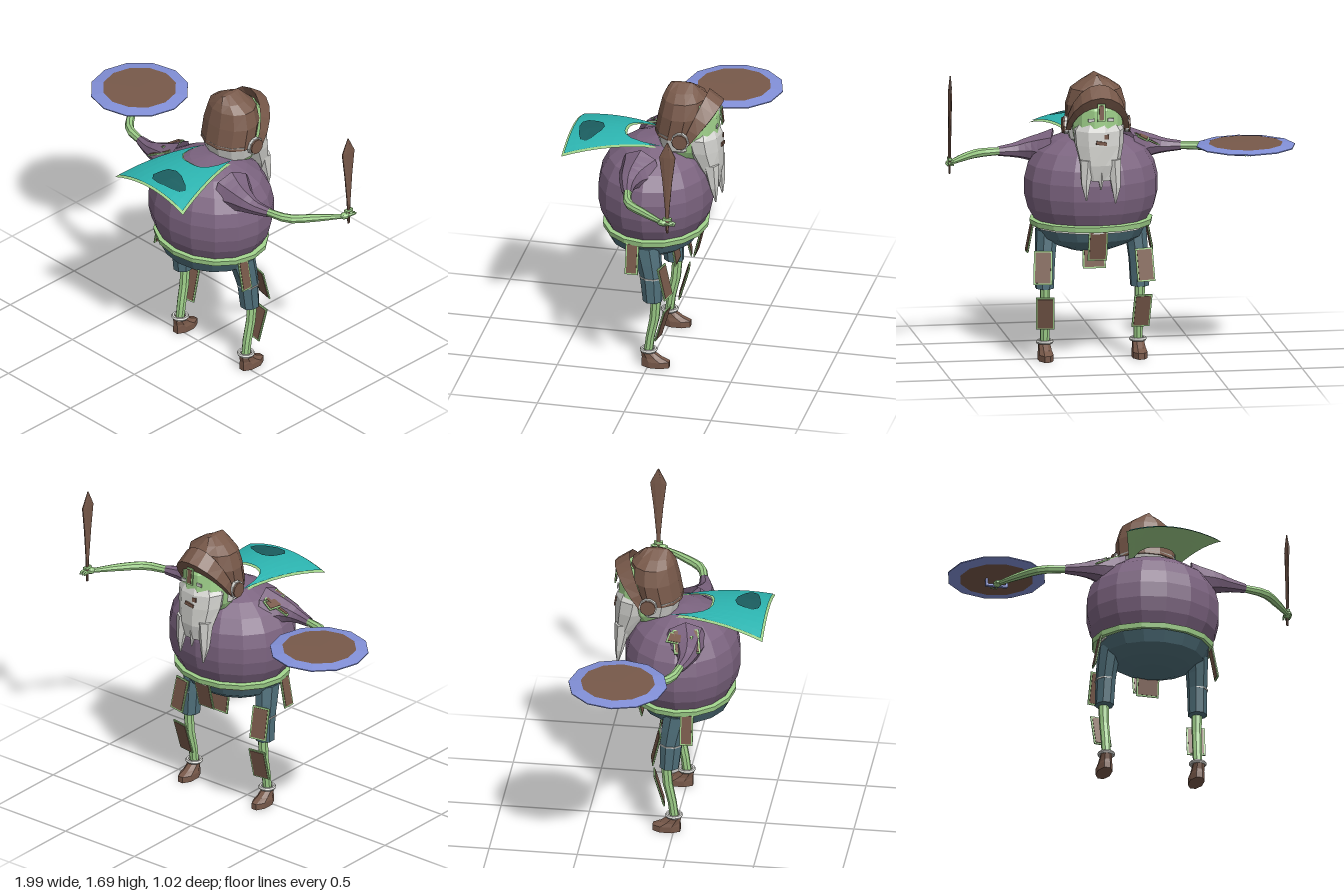
import * as THREE from 'three';

const mat = (name, color, side = THREE.DoubleSide) => {
  const m = new THREE.MeshStandardMaterial({ color, flatShading: true, side });
  m.name = name;
  return m;
};

export function createModel() {
  const brown = mat('brown leather', 0x78594a), purple = mat('purple shirt', 0x7c6480);
  const green = mat('green skin', 0x9fd08a), denim = mat('slate trousers', 0x4f6f7a);
  const teal = mat('teal cape', 0x2cb4b0), dark = mat('dark teal patch', 0x1b5e60);
  const white = mat('grey white hair', 0xd2d2ce), blue = mat('blue metal', 0x8290d8);

  const model = new THREE.Group();
  model.name = 'armouredFigure';
  const figure = new THREE.Group(); // built about its own middle line
  figure.name = 'figure';
  figure.position.x = 0.12;
  model.add(figure);

  const add = (name, geo, material, x = 0, y = 0, z = 0, parent = figure) => {
    const m = new THREE.Mesh(geo, material);
    m.name = name;
    m.position.set(x, y, z);
    parent.add(m);
    return m;
  };

  // Skin a grid of points, one row after another, each row closed on itself
  const skin = (rows) => {
    const n = rows[0].length, index = [];
    for (let i = 0; i < rows.length - 1; i++) for (let j = 0; j < n; j++) {
      const a = i * n + j, b = i * n + (j + 1) % n;
      index.push(a, a + n, b, b, a + n, b + n);
    }
    const g = new THREE.BufferGeometry();
    g.setAttribute('position', new THREE.Float32BufferAttribute(rows.flat(2), 3));
    g.setIndex(index);
    g.computeVertexNormals();
    return g;
  };

  // Stacked level ellipses [x, y, z, rx, rz], bottom to top, capped
  const rings = (list, sides = 10) => {
    const cap = ([x, y, z]) => [x, y, z, 0, 0];
    return skin([cap(list[0]), ...list, cap(list.at(-1))].map(([x, y, z, rx, rz]) =>
      Array.from({ length: sides }, (_, j) => {
        const a = (j + 0.5) / sides * Math.PI * 2;
        return [x + rx * Math.cos(a), y, z + rz * Math.sin(a)];
      })));
  };

  // Tapering tube through points [x, y, z, r]
  const limb = (pts, sides = 8, steps = 8) => {
    const path = new THREE.CatmullRomCurve3(pts.map(p => new THREE.Vector3(p[0], p[1], p[2])));
    const g = new THREE.TubeGeometry(path, steps, 1, sides);
    const pos = g.attributes.position, v = new THREE.Vector3();
    for (let i = 0; i < pos.count; i++) {
      const u = Math.floor(i / (sides + 1)) / steps, c = path.getPointAt(u);
      const k = u * (pts.length - 1), j = Math.min(Math.floor(k), pts.length - 2);
      const r = THREE.MathUtils.lerp(pts[j][3], pts[j + 1][3], k - j);
      v.fromBufferAttribute(pos, i).sub(c).multiplyScalar(r).add(c);
      pos.setXYZ(i, v.x, v.y, v.z);
    }
    g.computeVertexNormals();
    return g;
  };

  // Brown armour plate with a pale green edge, facing a direction
  const plate = (name, w, h, p, n) => {
    const g = new THREE.Group();
    g.name = name;
    g.position.set(...p);
    g.lookAt(p[0] + n[0], p[1] + n[1], p[2] + n[2]);
    add(name + 'Edge', new THREE.BoxGeometry(w, h, 0.007), green, 0, 0, 0, g);
    add(name + 'Face', new THREE.BoxGeometry(w - 0.018, h - 0.018, 0.013), brown, 0, 0, 0, g);
    figure.add(g);
  };

  // Round torso, belt and trouser seat
  const lathe = (name, pts, material, z) => {
    add(name, new THREE.LatheGeometry(pts.map(p => new THREE.Vector2(...p)), 16), material, 0, 0, z).scale.z = 0.86;
  };
  lathe('shirt', [[0.32, 0.8], [0.36, 0.87], [0.38, 0.95], [0.38, 1.04], [0.36, 1.12], [0.31, 1.2],
    [0.22, 1.26], [0.13, 1.295], [0, 1.31]], purple, 0.015);
  lathe('belt', [[0.3, 0.768], [0.345, 0.77], [0.35, 0.8], [0.31, 0.808]], green, 0.015);
  lathe('beltTrim', [[0.3, 0.757], [0.325, 0.758], [0.325, 0.77]], white, 0.015);
  lathe('trouserSeat', [[0, 0.612], [0.12, 0.622], [0.21, 0.655], [0.285, 0.7], [0.32, 0.765]], denim, 0.03);

  for (const s of [-1, 1]) {
    // Legs
    add('trouserLeg', rings([[s * 0.27, 0.41, -0.025, 0.054, 0.057], [s * 0.265, 0.56, -0.015, 0.056, 0.066],
      [s * 0.26, 0.64, 0, 0.06, 0.075], [s * 0.25, 0.74, 0.02, 0.066, 0.085]], 8), denim);
    add('trouserSeam', rings([[s * 0.269, 0.553, -0.016, 0.058, 0.067], [s * 0.269, 0.56, -0.016, 0.058, 0.067]], 8), white);
    add('shin', rings([[s * 0.265, 0.06, 0.005, 0.025, 0.026], [s * 0.265, 0.18, -0.01, 0.028, 0.026],
      [s * 0.268, 0.3, -0.035, 0.028, 0.029], [s * 0.27, 0.43, -0.045, 0.03, 0.03]], 8), green);
    add('ankleRing', new THREE.TorusGeometry(0.04, 0.011, 6, 12), white, s * 0.265, 0.098, 0).rotation.x = Math.PI / 2;
    add('shoe', rings([[s * 0.267, 0, -0.042, 0.044, 0.085], [s * 0.267, 0.035, -0.042, 0.044, 0.085],
      [s * 0.267, 0.055, -0.02, 0.038, 0.06], [s * 0.267, 0.09, 0.008, 0.034, 0.036]], 8), brown);
    // Leg armour
    plate('shinPlate', 0.105, 0.2, [s * 0.275, 0.275, -0.083], [s * 0.15, -0.28, -0.96]);
    plate('thighPlate', 0.105, 0.19, [s * 0.29, 0.54, -0.098], [s * 0.2, 0.24, -0.97]);
    plate('hipPlate', 0.075, 0.185, [s * 0.338, 0.69, 0.08], [s * 0.98, 0.19, 0]);
    // Arms
    add('sleeve', limb([[s * 0.22, 1.18, 0.06, 0.13], [s * 0.33, 1.19, 0.085, 0.075],
      [s * 0.42, 1.185, 0.085, 0.042], [s * 0.52, 1.185, 0.065, 0.027]]), purple);
    add('forearm', limb([[s * 0.5, 1.185, 0.068, 0.022], [s * 0.64, 1.185, 0.03, 0.026],
      [s * 0.74, 1.187, -0.08, 0.023], [s * 0.83, 1.185, -0.2, 0.014]]), green);
    add('palm', new THREE.SphereGeometry(0.026, 6, 5), green, s * 0.84, 1.187, -0.215).scale.set(1, 0.7, 1.3);
    for (const f of [-1, 0, 1])
      add('finger', limb([[s * (0.84 + f * 0.012), 1.187, -0.23, 0.009], [s * (0.848 + f * 0.018), 1.192, -0.26, 0.008],
        [s * (0.845 + f * 0.014), 1.185, -0.285, 0.005]], 5, 4), green);
  }

  // Hanging front plates and shoulder guards
  plate('beltPlate', 0.11, 0.19, [0, 0.69, -0.235], [0, -0.24, -0.97]);
  plate('groinPlate', 0.13, 0.17, [0, 0.615, -0.095], [0, 0.15, -0.98]);
  plate('shoulderPlate', 0.15, 0.16, [-0.305, 1.237, 0.075], [-0.45, 0.88, 0.1]);
  plate('upperShoulderPlate', 0.14, 0.07, [-0.303, 1.25, 0.035], [-0.42, 0.9, -0.1]);

  // Head, hair and helmet
  add('face', rings([[0, 1.2, -0.14, 0.09, 0.09], [0, 1.28, -0.17, 0.13, 0.13], [0, 1.38, -0.19, 0.145, 0.16],
    [0, 1.48, -0.19, 0.14, 0.155], [0, 1.56, -0.18, 0.11, 0.12]], 12), green);
  add('hair', rings([[0, 1.24, -0.16, 0.08, 0.08], [0, 1.29, -0.13, 0.15, 0.12], [0, 1.385, -0.115, 0.172, 0.132]], 12), white);
  add('helmet', rings([[0, 1.365, -0.12, 0.172, 0.14], [0, 1.49, -0.145, 0.172, 0.142], [0, 1.58, -0.15, 0.145, 0.125],
    [0, 1.62, -0.14, 0.085, 0.095], [0, 1.655, -0.135, 0.012, 0.065]], 12), brown);
  const brim = Array.from({ length: 11 }, (_, i) => {
    const a = i / 10 * Math.PI, c = Math.cos(a), s = Math.sin(a);
    return [[c * 0.172, 1.36 + 0.262 * s, -0.17 - 0.115 * s], [c * 0.18, 1.35 + 0.21 * s, -0.21 - 0.16 * s],
      [c * 0.15, 1.35 + 0.15 * s, -0.21 - 0.125 * s]];
  });
  add('helmetBrim', skin(brim), brown);
  plate('noseGuard', 0.045, 0.1, [0, 1.475, -0.362], [0, 0.1, -1]);
  for (const s of [-1, 1]) {
    add('earRim', new THREE.CylinderGeometry(0.052, 0.052, 0.02, 10), white, s * 0.172, 1.37, -0.16).rotation.z = Math.PI / 2;
    add('earDisc', new THREE.CylinderGeometry(0.045, 0.045, 0.034, 10), brown, s * 0.175, 1.37, -0.16).rotation.z = Math.PI / 2;
    add('eye', new THREE.BoxGeometry(0.035, 0.018, 0.008), white, s * 0.055, 1.43, -0.347);
  }

  // Beard with long locks
  add('beard', rings([[0, 1.08, -0.32, 0.075, 0.03], [0, 1.17, -0.3, 0.115, 0.07], [0, 1.28, -0.265, 0.14, 0.105],
    [0, 1.36, -0.25, 0.145, 0.112], [0, 1.41, -0.24, 0.11, 0.1]], 9), white);
  for (const [x, tip, r] of [[-0.075, 0.95, 0.045], [0.075, 0.97, 0.045], [0, 1.03, 0.04]])
    add('beardLock', rings([[x * 1.1, tip, -0.345, 0.004, 0.004], [x * 1.15, tip + 0.09, -0.335, r * 0.6, 0.025],
      [x, 1.2, -0.315, r, 0.048]], 6), white);
  add('mouth', new THREE.BoxGeometry(0.06, 0.02, 0.009), brown, 0, 1.3, -0.367).rotation.z = 0.15;
  add('cheekMark', new THREE.BoxGeometry(0.025, 0.025, 0.009), brown, -0.03, 1.335, -0.36);

  // Cape: a flared sheet with a scooped neck
  const capeY = (x, z) => 1.337 - 0.35 * (z - 0.25) ** 2 - 0.75 * x * x;
  const cape = (grow, lift) => {
    const g = new THREE.PlaneGeometry(2, 1, 10, 8), p = g.attributes.position;
    for (let i = 0; i < p.count; i++) {
      const u = p.getX(i), v = p.getY(i) + 0.5;
      const z = THREE.MathUtils.lerp(0.19 - grow - 0.23 * Math.abs(u) ** 3, 0.49 + grow, v);
      const x = u * (0.11 + grow + (z + 0.04) * 0.28);
      p.setXYZ(i, x, capeY(x, z) + lift, z);
    }
    g.computeVertexNormals();
    return g;
  };
  add('cape', cape(0, 0), teal);
  add('capeEdge', cape(0.012, -0.007), green);
  const patch = new THREE.CircleGeometry(1, 14), pp = patch.attributes.position;
  for (let i = 0; i < pp.count; i++) {
    const a = Math.atan2(pp.getY(i), pp.getX(i)), k = 1 + 0.14 * Math.sin(3 * a + 1);
    const x = 0.05 + pp.getX(i) * 0.11 * k, z = 0.385 + pp.getY(i) * 0.07 * k;
    pp.setXYZ(i, x, capeY(x, z) + 0.007, z);
  }
  add('capePatch', patch, dark);

  // Round shield held flat above the right hand
  const shield = new THREE.Group();
  shield.name = 'shield';
  shield.position.set(-0.84, 1.236, -0.24);
  figure.add(shield);
  const disc = [[0, -0.016], [0.21, -0.014], [0.28, -0.003], [0.28, 0.003], [0.21, 0.014], [0, 0.016]];
  const lath = (a, b) => new THREE.LatheGeometry(disc.slice(a, b).map(p => new THREE.Vector2(...p)), 12);
  add('shieldUnderside', lath(0, 2), brown, 0, 0, 0, shield);
  add('shieldRim', lath(1, 5), blue, 0, 0, 0, shield);
  add('shieldFace', lath(4, 6), brown, 0, 0, 0, shield);
  for (const x of [-0.057, 0.057])
    add('gripPost', new THREE.BoxGeometry(0.012, 0.045, 0.02), blue, x, -0.033, 0, shield);
  add('gripBar', new THREE.BoxGeometry(0.126, 0.012, 0.02), blue, 0, -0.052, 0, shield);

  // Upright blade in the left hand
  add('blade', rings([[0.845, 1.13, -0.24, 0.006, 0.008], [0.845, 1.27, -0.24, 0.008, 0.013],
    [0.843, 1.45, -0.24, 0.009, 0.03], [0.842, 1.6, -0.24, 0.009, 0.05], [0.841, 1.64, -0.24, 0.007, 0.03],
    [0.841, 1.69, -0.24, 0.003, 0.004]], 8), brown);
  add('bladeGuard', new THREE.BoxGeometry(0.02, 0.014, 0.05), green, 0.845, 1.215, -0.24);

  return model;
}
